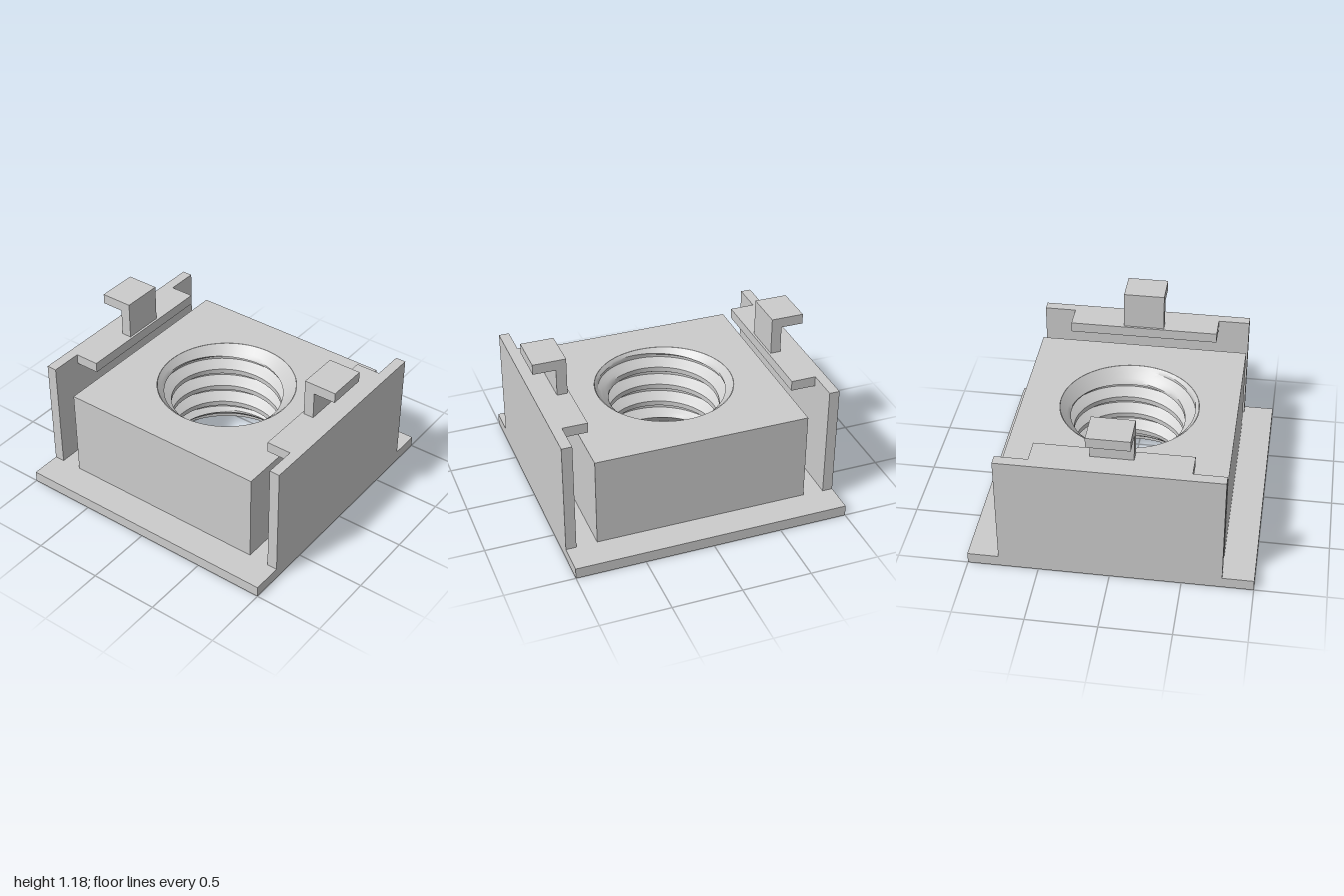
import * as THREE from 'three';
import { toCreasedNormals } from 'three/addons/utils/BufferGeometryUtils.js';

const material = new THREE.MeshStandardMaterial({ color: 0xcccccc });
const SEGMENTS = 96;
const BLOCK_BOTTOM = 0.08, BLOCK_TOP = 0.74;

function addMesh(parent, name, geometry) {
  const mesh = new THREE.Mesh(geometry, material);
  mesh.name = name;
  parent.add(mesh);
  return mesh;
}

// Box given by its limits on each axis
function addBox(parent, name, [x0, x1], [y0, y1], [z0, z1]) {
  const mesh = addMesh(parent, name, new THREE.BoxGeometry(x1 - x0, y1 - y0, z1 - z0));
  mesh.position.set((x0 + x1) / 2, (y0 + y1) / 2, (z0 + z1) / 2);
}

// Square slab with a round hole through it, standing between y0 and y1
function slabWithHole(half, radius, y0, y1) {
  const shape = new THREE.Shape();
  shape.moveTo(-half, -half).lineTo(half, -half).lineTo(half, half).lineTo(-half, half).closePath();
  shape.holes.push(new THREE.Path().absarc(0, 0, radius, 0, Math.PI * 2, true));
  const geometry = new THREE.ExtrudeGeometry(shape, {
    depth: y1 - y0, bevelEnabled: false, curveSegments: SEGMENTS / 2,
  });
  geometry.rotateX(-Math.PI / 2).translate(0, y0, 0);
  return toCreasedNormals(geometry, 0.5);
}

// Right-hand internal thread, with a chamfer at both ends of the bore
function threadedBore() {
  const pitch = 0.15, start = 0.069, minor = 0.4, major = 0.475, mouth = 0.498;
  // [fraction of the pitch, radius]: crest, flank, root, flank
  const profile = [[0, minor], [0.12, minor], [0.25, minor], [0.35, 0.423], [0.45, 0.45],
    [0.56, major], [0.69, major], [0.79, 0.45], [0.9, 0.423]];
  const rows = [];
  for (let turn = -2; turn < 6; turn++) {
    for (const [f, r] of profile) rows.push([start + pitch * (turn + f), r]);
  }
  const point = ([height, radius], i) => {
    const angle = (i / SEGMENTS) * Math.PI * 2;
    const y = THREE.MathUtils.clamp(height + (pitch * i) / SEGMENTS, BLOCK_BOTTOM, BLOCK_TOP);
    const toEnd = Math.min(y - BLOCK_BOTTOM, BLOCK_TOP - y);
    const r = Math.max(toEnd < 1e-6 ? mouth : radius, mouth - toEnd);
    return new THREE.Vector3(r * Math.cos(angle), y, -r * Math.sin(angle));
  };
  const positions = [];
  const triangle = (a, b, c) => {
    const area = b.clone().sub(a).cross(c.clone().sub(a)).length();
    if (area > 1e-8) for (const p of [a, b, c]) positions.push(p.x, p.y, p.z);
  };
  for (let j = 0; j < rows.length - 1; j++) {
    for (let i = 0; i < SEGMENTS; i++) {
      const a = point(rows[j], i), b = point(rows[j], i + 1);
      const c = point(rows[j + 1], i), d = point(rows[j + 1], i + 1);
      triangle(a, c, b);
      triangle(b, c, d);
    }
  }
  const geometry = new THREE.BufferGeometry();
  geometry.setAttribute('position', new THREE.Float32BufferAttribute(positions, 3));
  return toCreasedNormals(geometry, 0.5);
}

// Side wall with an inner ledge and a hook turned outwards
function clipWall(name) {
  const group = new THREE.Group();
  group.name = name;
  addBox(group, 'wall', [-0.78, 0.78], [0.08, 0.91], [0.925, 1]);
  addBox(group, 'ledge', [-0.55, 0.55], [0.835, 0.91], [0.745, 0.925]);
  addBox(group, 'hookStem', [-0.15, 0.15], [0.91, 1.11], [0.762, 0.837]);
  addBox(group, 'hookTop', [-0.15, 0.15], [1.11, 1.185], [0.762, 1]);
  return group;
}

export function createModel() {
  const model = new THREE.Group();
  model.name = 'threadedMount';

  addMesh(model, 'basePlate', slabWithHole(1, 0.57, 0, 0.08));
  addMesh(model, 'nutBlock', slabWithHole(0.775, 0.5, BLOCK_BOTTOM, BLOCK_TOP));
  addMesh(model, 'threadedBore', threadedBore());

  // Matching walls at the front and the back
  const back = clipWall('backWall');
  back.rotation.y = Math.PI;
  model.add(clipWall('frontWall'), back);

  return model;
}
